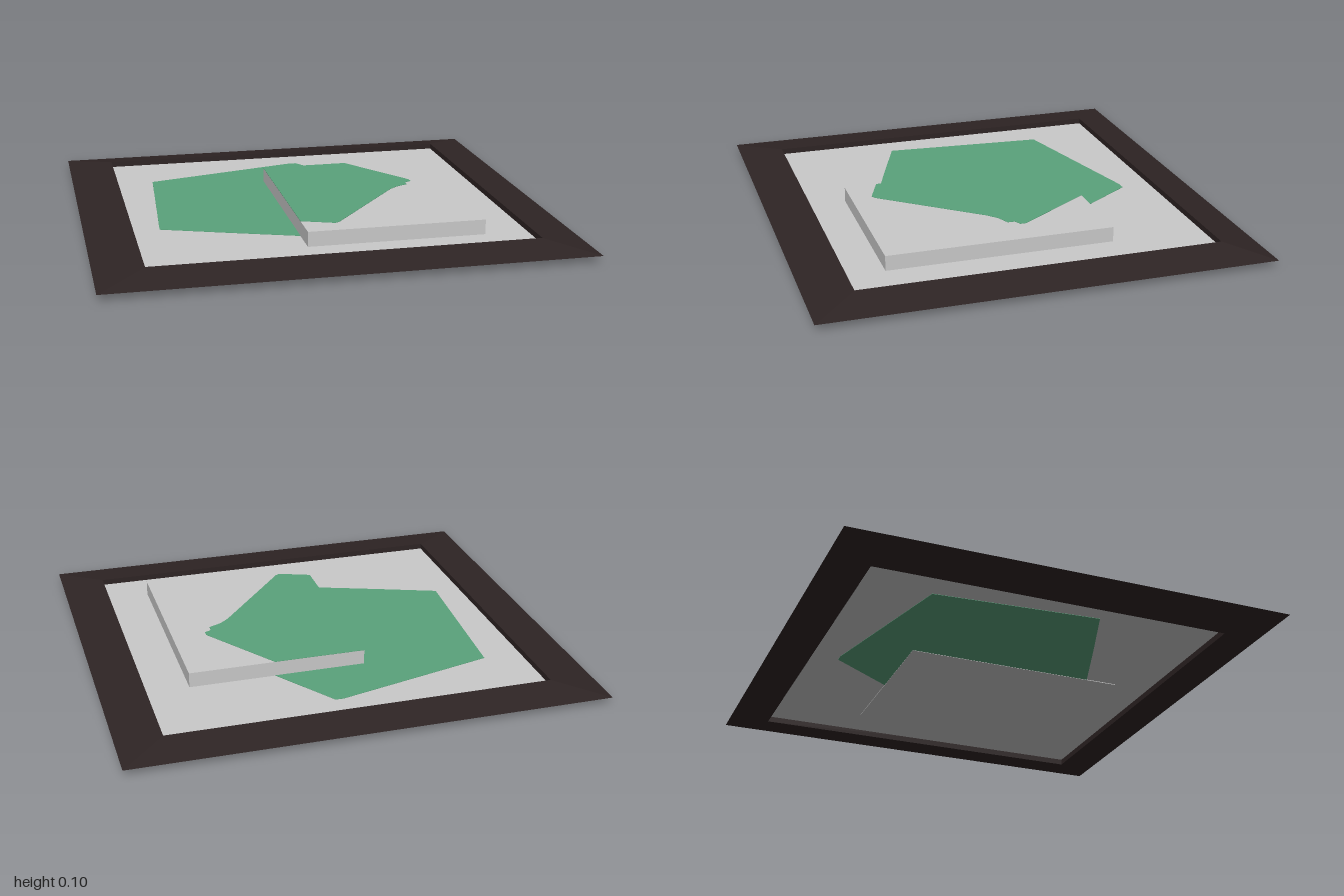
import * as THREE from 'three';

const material = (name, color) => {
  const m = new THREE.MeshStandardMaterial({ color });
  m.name = name;
  return m;
};

// Rectangle corners, anticlockwise seen from above
const ring = (x0, x1, z0, z1, y) => [[x0, y, z0], [x0, y, z1], [x1, y, z1], [x1, y, z0]];

// Skins consecutive rings with flat quads
function skinRings(rings) {
  const pos = [];
  for (let r = 0; r < rings.length - 1; r++) {
    for (let i = 0; i < 4; i++) {
      const j = (i + 1) % 4;
      const a = rings[r], b = rings[r + 1];
      pos.push(...a[i], ...a[j], ...b[j], ...a[i], ...b[j], ...b[i]);
    }
  }
  const geo = new THREE.BufferGeometry();
  geo.setAttribute('position', new THREE.Float32BufferAttribute(pos, 3));
  geo.computeVertexNormals();
  return geo;
}

// Flat plate from an x, z outline, standing between two heights
function plate(points, y0, y1) {
  const shape = new THREE.Shape(points.map(([x, z]) => new THREE.Vector2(x, -z)));
  const geo = new THREE.ExtrudeGeometry(shape, { depth: y1 - y0, bevelEnabled: false });
  return geo.rotateX(-Math.PI / 2).translate(0, y0, 0);
}

// Box given by its limits
function block(x0, x1, y0, y1, z0, z1) {
  return new THREE.BoxGeometry(x1 - x0, y1 - y0, z1 - z0)
    .translate((x0 + x1) / 2, (y0 + y1) / 2, (z0 + z1) / 2);
}

export function createModel() {
  const dark = material('dark brown', 0x2e2424);
  const grey = material('light grey', 0xcacaca);
  const green = material('green', 0x5aa27b);
  const group = new THREE.Group();
  const add = (name, geo, mat) => {
    const mesh = new THREE.Mesh(geo, mat);
    mesh.name = name;
    group.add(mesh);
  };

  // Frame with a wedge section: sharp outer rim, upright inner wall
  const outer = ring(-1, 1, -0.945, 0.94, 0.028);
  add('frame', skinRings([
    outer,
    ring(-0.8, 0.815, -0.78, 0.75, 0.055),
    ring(-0.8, 0.815, -0.78, 0.75, 0),
    outer,
  ]), dark);

  // Thin panel across the opening
  add('panel', block(-0.8, 0.815, 0.026, 0.03, -0.78, 0.75), grey);

  // Five-sided patch showing on both faces of the panel
  add('panelPatch', plate([
    [-0.635, -0.475], [-0.42, -0.53], [0.05, -0.65], [0.085, -0.65], [0.265, -0.38],
    [0.485, -0.05], [0.485, -0.025], [0.455, -0.01], [0.455, 0.02], [0.4, 0.045],
    [0.36, 0.08], [0.03, 0.485], [0.01, 0.495], [-0.12, 0.445], [-0.42, 0.335], [-0.685, 0.235],
  ], 0.0245, 0.0315), green);

  // Raised slab, its base just covering the patch from below
  add('slab', block(-0.125, 0.63, 0.023, 0.094, -0.38, 0.585), grey);

  // Part of the patch that carries on over the slab
  add('slabPatch', plate([
    [-0.125, -0.38], [0.265, -0.38], [0.485, -0.05], [0.485, -0.025], [0.455, -0.01],
    [0.455, 0.02], [0.4, 0.045], [0.36, 0.08], [0.03, 0.485], [0.01, 0.495], [-0.125, 0.443],
  ], 0.0935, 0.0955), green);

  return group;
}
